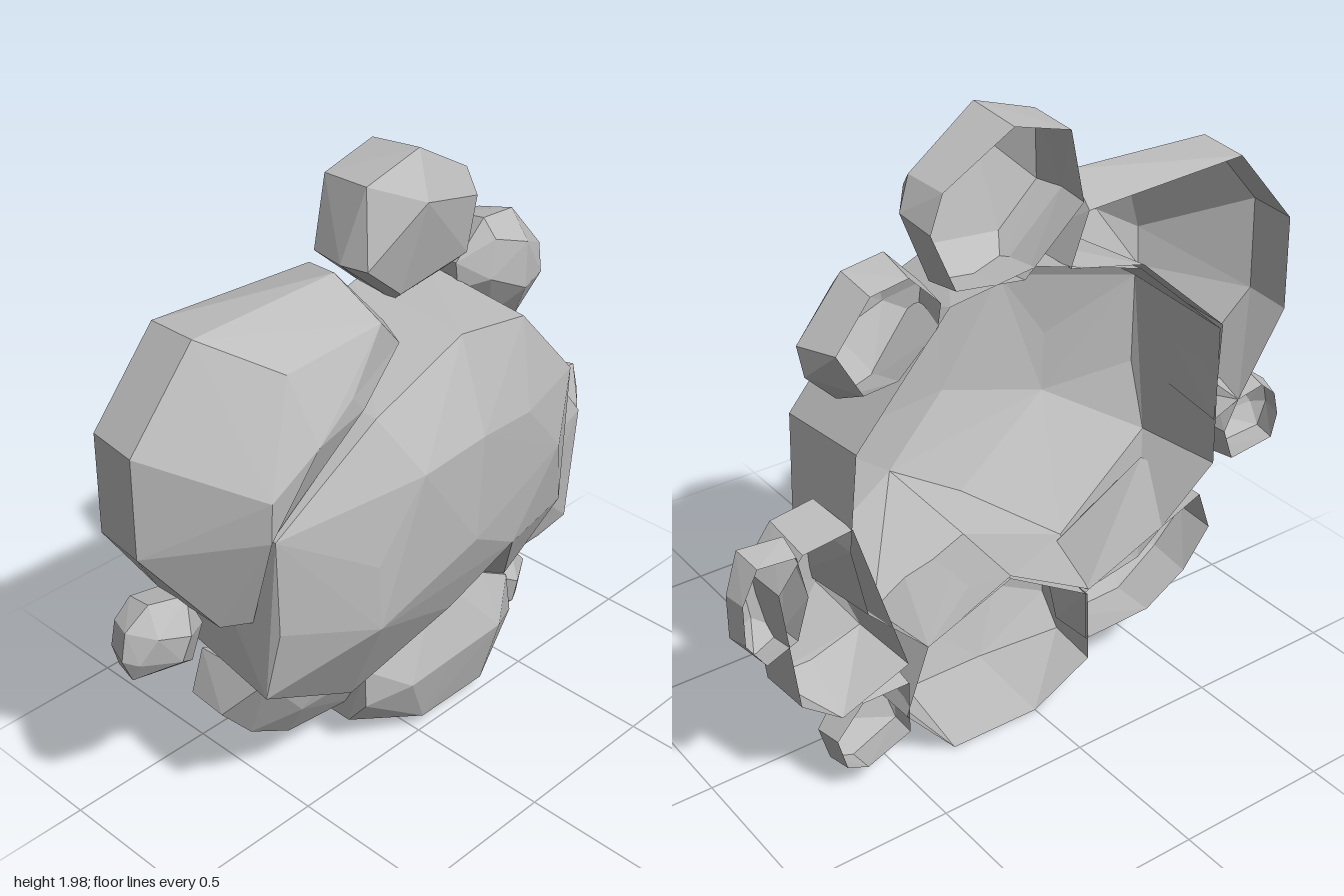
import * as THREE from 'three';
import { ConvexGeometry } from 'three/addons/geometries/ConvexGeometry.js';

const BACK = -0.275; // plane where every rock is cut open

const stone = new THREE.MeshStandardMaterial({ color: 0xbcbcbc, side: THREE.DoubleSide });
stone.name = 'grey stone';

// Faceted rock shell: hull of the chipped corners and the back rim, left open at the back.
// Each dent is [from, to]: a hull corner that is pushed inwards after the facets are made.
function rock(name, corners, rim, dents = []) {
  const moves = dents.map((pair) => pair.map(([x, y, z = BACK]) => new THREE.Vector3(x, y, z)));
  const points = [
    ...[...corners, ...rim].map(([x, y, z = BACK]) => new THREE.Vector3(x, y, z)),
    ...moves.map(([from]) => from),
  ];
  const p = new ConvexGeometry(points).getAttribute('position');
  const kept = [];
  for (let i = 0; i < p.count; i += 3) {
    const face = [0, 1, 2].map((k) => new THREE.Vector3().fromBufferAttribute(p, i + k));
    if (face.every((v) => v.z < BACK + 0.001)) continue;
    for (const v of face) {
      const move = moves.find(([from]) => from.distanceTo(v) < 0.001);
      kept.push(move ? move[1] : v);
    }
  }
  const geometry = new THREE.BufferGeometry().setFromPoints(kept);
  geometry.computeVertexNormals();
  const mesh = new THREE.Mesh(geometry, stone);
  mesh.name = name;
  return mesh;
}

export function createModel() {
  const group = new THREE.Group();
  group.name = 'rockCluster';

  // Large central boulder, hollowed above the bottom boulder
  group.add(rock('mainBoulder', [
    [-0.42, 0.99, 0.25], [-0.26, 1.23, 0.275], [0, 1.235, 0.26], [0.28, 1.17, 0.19],
    [0.49, 0.94, 0.14], [0.22, 0.73, 0.19], [-0.02, 0.59, 0.15], [-0.42, 0.78, 0.255], [-0.03, 0.9, 0.265],
    [-0.7, 1.16, 0.14], [-0.34, 1.4, 0.165], [0.04, 1.5, 0.13], [0.38, 1.41, 0.07], [0.63, 1.13, 0.06],
    [0.66, 0.85, 0.02], [0.64, 0.62, 0.03], [0.42, 0.41, -0.01], [-0.2, 0.37, 0.02],
    [-0.33, 0.37, 0.03], [-0.72, 0.61, 0.09], [-0.7, 0.85, 0.14],
  ], [
    [-0.69, 1.14], [-0.36, 1.43], [0.02, 1.54], [0.31, 1.5], [0.62, 1.15], [0.65, 0.85],
    [0.6, 0.62], [0.4, 0.42], [-0.2, 0.38], [-0.4, 0.42], [-0.7, 0.66],
  ], [
    [[0.1, 0.33, 0], [0.1, 0.57, -0.03]],
    [[0.1, 0.34], [0.1, 0.55]],
  ]));

  // Big boulder at the upper side, wrapped around the central one
  group.add(rock('upperBoulder', [
    [-0.73, 1.31, 0.17], [-0.73, 1.18, 0.16], [-0.56, 1.41, 0.175], [-0.4, 1.48, 0.14],
    [-0.23, 1.62, 0.08], [-0.13, 1.51, 0.05], [-0.58, 1.6, 0.08],
    [-0.97, 1.44, -0.1], [-0.74, 1.7, -0.1], [-0.52, 1.68, -0.1], [-0.23, 1.71, -0.1],
    [-0.08, 1.52, -0.06], [-0.98, 1.13, -0.1], [-0.78, 0.84, -0.02], [-0.71, 0.85, 0.04],
  ], [
    [-0.95, 1.44], [-0.73, 1.69], [-0.52, 1.67], [-0.16, 1.66], [-0.1, 1.5],
    [-0.96, 1.13], [-0.79, 0.86], [-0.69, 0.82],
  ], [
    [[-0.25, 1.18, 0.06], [-0.35, 1.42, 0.13]],
    [[-0.5, 0.93, 0.08], [-0.71, 1.16, 0.13]],
    [[-0.25, 1.18], [-0.37, 1.44]],
    [[-0.5, 0.93], [-0.7, 1.15]],
  ]));

  // Top rock
  group.add(rock('topRock', [
    [0.04, 1.86, 0], [0.31, 1.78, -0.06], [-0.14, 1.69, -0.06], [0.29, 1.6, -0.08], [0, 1.57, -0.07],
    [-0.1, 1.92, -0.1], [0.1, 1.98, -0.09], [0.34, 1.84, -0.13], [0.39, 1.75, -0.16],
    [0.3, 1.53, -0.16], [0.06, 1.5, -0.16], [-0.16, 1.69, -0.15],
  ], [[-0.09, 1.91], [0.1, 1.96], [0.33, 1.83], [0.37, 1.72], [0.29, 1.54], [0.06, 1.51], [-0.14, 1.69]]));

  // Small rock at the upper right
  group.add(rock('upperSmallRock', [
    [0.43, 1.59, -0.09], [0.55, 1.55, -0.065], [0.54, 1.4, -0.06], [0.4, 1.47, -0.08], [0.66, 1.4, -0.1],
    [0.32, 1.53, -0.15], [0.43, 1.645, -0.14], [0.57, 1.63, -0.15], [0.72, 1.46, -0.16],
    [0.7, 1.36, -0.16], [0.6, 1.26, -0.15], [0.48, 1.3, -0.15], [0.33, 1.44, -0.15],
  ], [[0.34, 1.52], [0.44, 1.62], [0.56, 1.6], [0.67, 1.46], [0.59, 1.32], [0.48, 1.33], [0.35, 1.45]]));

  // Side rock with its small neighbour
  group.add(rock('sideRock', [
    [0.66, 0.94, -0.1], [0.8, 0.92, -0.1], [0.89, 0.8, -0.1], [0.84, 0.4, -0.1],
    [0.65, 0.8, -0.03], [0.69, 0.39, -0.09], [0.5, 0.42, -0.06], [0.62, 0.6, -0.02],
  ], [[0.64, 0.92], [0.8, 0.9], [0.88, 0.8], [0.83, 0.4], [0.7, 0.3], [0.47, 0.39], [0.56, 0.66]]));
  group.add(rock('sideSmallRock', [
    [0.84, 0.86, -0.14], [0.92, 0.8, -0.13], [0.9, 0.66, -0.14], [0.81, 0.92, -0.19], [0.95, 0.925, -0.18],
    [1, 0.81, -0.2], [1, 0.67, -0.2], [0.93, 0.58, -0.2], [0.83, 0.62, -0.19],
  ], [[0.82, 0.9], [0.94, 0.91], [0.99, 0.81], [0.99, 0.68], [0.93, 0.59], [0.83, 0.63], [0.79, 0.76]]));

  // Bottom boulder with its small neighbour
  group.add(rock('bottomBoulder', [
    [-0.08, 0.26, 0.05], [0.31, 0.3, 0.07], [0.1, 0.28, 0.06], [0.02, 0.05, 0], [0.3, 0.05, 0],
    [-0.22, 0.36, -0.02], [0.1, 0.56, -0.02], [0.3, 0.48, 0], [0.42, 0.41, 0], [0.49, 0.21, -0.04],
    [-0.22, 0.22, -0.02], [-0.22, 0.12, -0.1],
  ], [[-0.2, 0.36], [0.1, 0.54], [0.4, 0.42], [0.48, 0.2], [0.31, 0.002], [0, 0], [-0.21, 0.11]]));
  group.add(rock('bottomSmallRock', [
    [0.5, 0.3, -0.12], [0.6, 0.24, -0.1], [0.6, 0.15, -0.12], [0.47, 0.34, -0.18], [0.64, 0.33, -0.17],
    [0.735, 0.22, -0.19], [0.7, 0.1, -0.19], [0.62, 0.07, -0.19], [0.46, 0.13, -0.18],
  ], [[0.47, 0.32], [0.63, 0.32], [0.72, 0.22], [0.69, 0.11], [0.62, 0.08], [0.47, 0.14]]));

  // Low rock tucked under the main boulder
  group.add(rock('lowRock', [
    [-0.64, 0.57, 0], [-0.42, 0.45, 0], [-0.48, 0.36, -0.03], [-0.22, 0.36, -0.02],
    [-0.71, 0.42, -0.13], [-0.61, 0.3, -0.12], [-0.45, 0.2, -0.13], [-0.2, 0.18, -0.12],
  ], [[-0.65, 0.56], [-0.7, 0.42], [-0.6, 0.29], [-0.45, 0.2], [-0.2, 0.19], [-0.19, 0.37], [-0.4, 0.44]]));

  // Small rock on the far side
  group.add(rock('farSmallRock', [
    [-0.92, 0.82, -0.12], [-0.82, 0.79, -0.1], [-0.85, 0.71, -0.11], [-0.97, 0.74, -0.15],
    [-1, 0.75, -0.19], [-0.98, 0.84, -0.19], [-0.9, 0.9, -0.18], [-0.78, 0.88, -0.16],
    [-0.73, 0.76, -0.16], [-0.77, 0.64, -0.17], [-0.97, 0.67, -0.19],
  ], [[-0.97, 0.75], [-0.95, 0.83], [-0.89, 0.88], [-0.79, 0.86], [-0.74, 0.76], [-0.78, 0.65], [-0.95, 0.67]]));

  return group;
}
